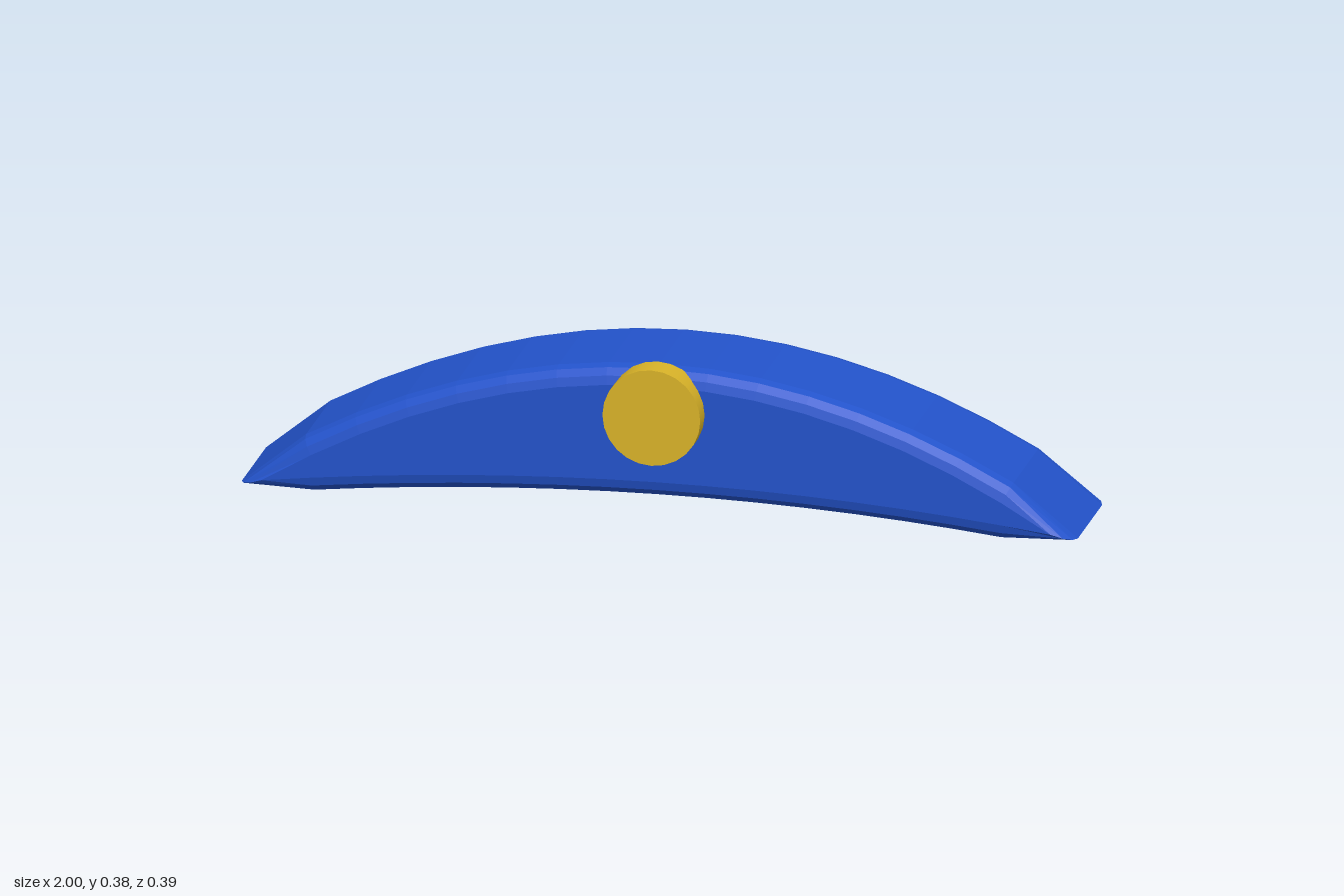
import * as THREE from 'three';

export function createModel() {
  const group = new THREE.Group();
  const blue = new THREE.MeshStandardMaterial({ name: 'blue', color: 0x2353cb });
  const gold = new THREE.MeshStandardMaterial({ name: 'gold', color: 0xd9b328 });

  // Crescent outline between two pointed tips; the bevel widens it to full size
  const tipX = 0.943, tipY = 0.034, bevel = 0.042, bevelDepth = 0.045;
  const topMid = 0.331, bottomMid = 0.096;
  const control = (mid) => 2 * mid - tipY;
  const outline = new THREE.Shape();
  outline.moveTo(-tipX, tipY);
  outline.quadraticCurveTo(0, control(topMid), tipX, tipY);
  outline.quadraticCurveTo(0, control(bottomMid), -tipX, tipY);

  // Arched body with rounded front and back rims
  const bodyGeometry = new THREE.ExtrudeGeometry(outline, {
    depth: 0.258,
    curveSegments: 16,
    bevelEnabled: true,
    bevelSize: bevel,
    bevelThickness: bevelDepth,
    bevelSegments: 3,
  });
  bodyGeometry.translate(0, 0, -0.197 + bevelDepth);
  const body = new THREE.Mesh(bodyGeometry, blue);
  body.name = 'archedBody';
  group.add(body);

  // Round badge on the front
  const badgeGeometry = new THREE.CylinderGeometry(0.117, 0.117, 0.07, 24);
  badgeGeometry.rotateX(Math.PI / 2);
  const badge = new THREE.Mesh(badgeGeometry, gold);
  badge.name = 'frontBadge';
  badge.position.set(0, 0.268, 0.163);
  group.add(badge);

  return group;
}
